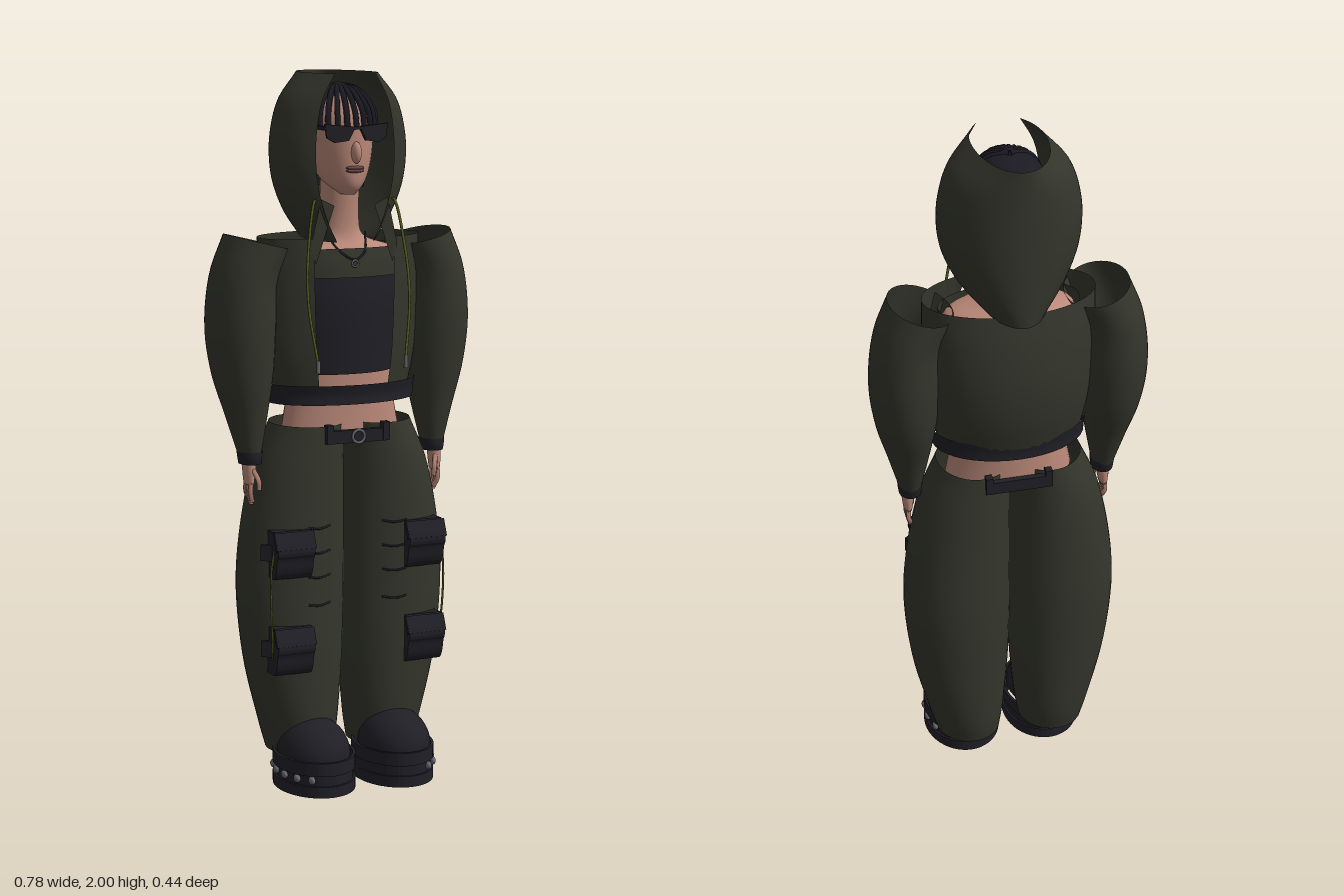
import * as THREE from 'three';

const mat = (color) => new THREE.MeshStandardMaterial({ color, side: THREE.DoubleSide, roughness: 0.9 });
const OLIVE = mat(0x34362c), DARK = mat(0x201f26), SKIN = mat(0xb98878),
  CORD = mat(0x59631f), METAL = mat(0x66666c), HAIR = mat(0x1b1a22), LIP = mat(0x6b4440);

// Smooth skin through elliptical cross-sections listed from top to bottom.
// section: [y, centreX, centreZ, halfWidth, frontDepth, backDepth, sideTilt]
// The sweep angle starts at the back; arc < PI leaves an opening at the front.
function loft(sections, { arc = Math.PI, n = 40, rows = 24, side = 1, caps = false } = {}) {
  const curve = (a, b, c) => new THREE.CatmullRomCurve3(
    sections.map((s) => new THREE.Vector3(s[a], s[b], s[c] || 0)), false, 'catmullrom', 0.5);
  const centre = curve(0, 1, 2), radii = curve(3, 4, 5), tilts = curve(6, 6, 6);
  const closed = arc === Math.PI, cols = closed ? n : n + 1;
  const pos = [], idx = [];
  for (let i = 0; i <= rows; i++) {
    const u = i / rows;
    const c = centre.getPoint(u), r = radii.getPoint(u), k = tilts.getPoint(u).x;
    for (let j = 0; j < cols; j++) {
      const t = -arc + (2 * arc * j) / n, s = Math.sin(t), co = Math.cos(t);
      pos.push(side * c.y + r.x * s, c.x + k * s * side, c.z - co * (co > 0 ? r.z : r.y));
      if (i < rows && j < n) {
        const a = i * cols + j, b = i * cols + ((j + 1) % cols);
        idx.push(a, b, a + cols, b, b + cols, a + cols);
      }
    }
  }
  if (caps) for (let j = 1; j < n - 1; j++) {
    const l = rows * cols;
    idx.push(0, j + 1, j, l, l + j, l + j + 1);
  }
  const g = new THREE.BufferGeometry();
  g.setAttribute('position', new THREE.Float32BufferAttribute(pos, 3));
  g.setIndex(idx);
  g.computeVertexNormals();
  return g;
}

const V = (p) => new THREE.Vector3(...p);
const tube = (pts, r, seg = 24) => new THREE.TubeGeometry(new THREE.CatmullRomCurve3(pts.map(V)), seg, r, 6);
const ball = (x, y, z, sx, sy, sz) => new THREE.SphereGeometry(1, 20, 14).scale(sx, sy, sz).translate(x, y, z);
const box = (x, y, z, w, h, d) => new THREE.BoxGeometry(w, h, d).translate(x, y, z);

export function createModel() {
  const model = new THREE.Group();
  const add = (name, geometry, material) => {
    const m = new THREE.Mesh(geometry, material);
    m.name = name;
    model.add(m);
    return m;
  };

  // Head and face
  add('head', loft([
    [1.955, 0, -0.03, 0.015, 0.015, 0.015], [1.935, 0, -0.03, 0.06, 0.07, 0.07],
    [1.88, 0, -0.03, 0.09, 0.113, 0.1], [1.81, 0, -0.03, 0.09, 0.118, 0.1],
    [1.74, 0, -0.02, 0.076, 0.107, 0.08], [1.695, 0, 0, 0.05, 0.083, 0.06], [1.668, 0, 0.02, 0.02, 0.045, 0.04],
  ], { caps: true }), SKIN);
  add('nose', ball(0, 1.785, 0.093, 0.014, 0.03, 0.018), SKIN);
  for (const y of [1.743, 1.735]) add('lip', ball(0, y, 0.084, 0.027, 0.006, 0.012), LIP);
  add('neck', loft([
    [1.71, 0, -0.02, 0.055, 0.055, 0.055], [1.6, 0, -0.03, 0.056, 0.055, 0.055],
    [1.545, 0, -0.03, 0.075, 0.06, 0.07], [1.51, 0, -0.03, 0.17, 0.085, 0.11], [1.46, 0, -0.03, 0.19, 0.1, 0.13],
  ]), SKIN);

  // Hair cap with braids fanning over the forehead
  add('hair', loft([
    [1.968, 0, -0.045, 0.01, 0.01, 0.01], [1.95, 0, -0.045, 0.06, 0.075, 0.075],
    [1.9, 0, -0.045, 0.096, 0.115, 0.11], [1.8, 0, -0.045, 0.1, 0.1, 0.11], [1.68, 0, -0.05, 0.08, 0.06, 0.09],
  ], { arc: 2.0 }), HAIR);
  for (let i = -5; i <= 5; i++) {
    const a = i * 0.26, s = Math.sin(a), c = Math.cos(a);
    add('braid', tube([[0, 1.966, -0.04], [s * 0.055, 1.95, -0.035 + c * 0.065],
      [s * 0.092, 1.9, -0.03 + c * 0.112], [s * 0.098, 1.855 - 0.014 * (i & 1), -0.03 + c * 0.125]], 0.0085, 14), HAIR);
  }

  // Sunglasses
  const lens = new THREE.Shape([[0.006, 0.018], [0.094, 0.026], [0.088, -0.012], [0.066, -0.025], [0.026, -0.02]]
    .map((p) => new THREE.Vector2(...p)));
  for (const s of [-1, 1]) {
    const m = add('lens', new THREE.ExtrudeGeometry(lens, { depth: 0.01, bevelEnabled: false }), DARK);
    m.position.set(0, 1.838, 0.094);
    m.rotation.y = s > 0 ? 0.12 : Math.PI - 0.12;
    if (s < 0) m.position.z = 0.104;
    add('templeArm', box(s * 0.092, 1.853, 0.03, 0.006, 0.012, 0.12), DARK);
  }
  add('noseBridge', box(0, 1.852, 0.1, 0.03, 0.008, 0.01), DARK);

  // Hood: tall open shell with a straight back
  add('hood', loft([
    [2.0, 0, -0.03, 0.1, 0.144, 0.19], [1.93, 0, -0.03, 0.162, 0.144, 0.19], [1.85, 0, -0.03, 0.189, 0.144, 0.19],
    [1.77, 0, -0.03, 0.195, 0.144, 0.19], [1.69, 0, -0.03, 0.182, 0.144, 0.19],
    [1.61, 0, -0.03, 0.145, 0.144, 0.19], [1.54, 0, -0.03, 0.09, 0.144, 0.19],
  ], { arc: 2.5, n: 56 }), OLIVE);

  // Torso and cropped top
  add('midriff', loft([
    [1.2, 0, -0.02, 0.15, 0.085, 0.12], [1.1, 0, -0.02, 0.158, 0.085, 0.12], [0.98, 0, -0.02, 0.18, 0.09, 0.12],
  ]), SKIN);
  add('croppedTop', loft([
    [1.45, 0, -0.03, 0.185, 0.105, 0.135], [1.35, 0, -0.03, 0.18, 0.112, 0.135], [1.17, 0, -0.025, 0.155, 0.1, 0.12],
  ]), DARK);
  add('topYoke', loft([
    [1.52, 0, -0.03, 0.195, 0.098, 0.135], [1.48, 0, -0.03, 0.195, 0.106, 0.14], [1.44, 0, -0.03, 0.19, 0.11, 0.14],
  ]), OLIVE);
  add('necklace', tube([[-0.06, 1.56, 0.015], [-0.035, 1.51, 0.07], [0, 1.49, 0.083], [0.035, 1.51, 0.07], [0.06, 1.56, 0.015]], 0.003), DARK);
  add('pendant', new THREE.TorusGeometry(0.009, 0.003, 6, 16).translate(0, 1.48, 0.086), METAL);

  // Jacket body, open at the front, and its hem band
  add('jacketBody', loft([
    [1.55, 0, -0.03, 0.24, 0.125, 0.14], [1.45, 0, -0.03, 0.24, 0.13, 0.16], [1.33, 0, -0.03, 0.235, 0.13, 0.17],
    [1.22, 0, -0.03, 0.225, 0.128, 0.16], [1.12, 0, -0.03, 0.205, 0.12, 0.135],
  ], { arc: 2.62 }), OLIVE);
  add('hemBand', loft([
    [1.145, 0, -0.02, 0.222, 0.135, 0.15], [1.115, 0, -0.02, 0.218, 0.128, 0.145], [1.09, 0, -0.02, 0.216, 0.13, 0.145],
  ]), DARK);

  for (const side of [-1, 1]) {
    const at = (p) => [side * p[0], p[1], p[2]];

    // Puffed sleeve, open at the shoulder, with cuff
    add('sleeve', loft([
      [1.54, 0.245, -0.035, 0.088, 0.115, 0.118, 0.022], [1.44, 0.285, -0.035, 0.09, 0.118, 0.12, 0.01],
      [1.31, 0.295, -0.035, 0.096, 0.118, 0.12], [1.18, 0.292, -0.03, 0.085, 0.1, 0.105],
      [1.06, 0.285, -0.02, 0.058, 0.07, 0.07], [0.945, 0.28, -0.008, 0.03, 0.04, 0.042],
    ], { side }), OLIVE);
    add('cuff', loft([
      [0.96, 0.28, -0.008, 0.035, 0.044, 0.046], [0.94, 0.28, -0.006, 0.033, 0.042, 0.044], [0.925, 0.28, -0.006, 0.031, 0.038, 0.04],
    ], { side }), DARK);

    // Hand
    add('palm', loft([
      [0.96, 0.283, 0, 0.02, 0.022, 0.022], [0.91, 0.285, 0, 0.018, 0.026, 0.026], [0.868, 0.286, 0, 0.012, 0.026, 0.026],
    ], { side, n: 16, rows: 10, caps: true }), SKIN);
    for (let f = 0; f < 4; f++) {
      const z = 0.019 - f * 0.0125;
      add('finger', tube([[0.286, 0.88, z], [0.288, 0.845, z], [0.28, 0.808 + Math.abs(f - 1.3) * 0.008, z * 0.5]].map(at), 0.0068, 8), SKIN);
    }
    add('thumb', tube([[0.28, 0.91, 0.02], [0.27, 0.88, 0.036], [0.268, 0.855, 0.034]].map(at), 0.0075, 8), SKIN);

    // Wide trouser leg
    add('trouserLeg', loft([
      [1.03, 0.1, -0.025, 0.105, 0.118, 0.125], [0.9, 0.129, -0.025, 0.131, 0.127, 0.135],
      [0.72, 0.147, -0.025, 0.15, 0.13, 0.142], [0.55, 0.153, -0.025, 0.155, 0.13, 0.146],
      [0.35, 0.146, -0.025, 0.142, 0.13, 0.138], [0.17, 0.132, -0.025, 0.113, 0.122, 0.127],
      [0.085, 0.126, -0.03, 0.095, 0.1, 0.105],
    ], { side, rows: 32 }), OLIVE);

    // Cargo pockets: bulging side profile swept across the width, with flap and straps
    const profile = new THREE.Shape();
    profile.moveTo(-0.05, 0.065);
    profile.lineTo(0.015, 0.068);
    profile.bezierCurveTo(0.04, 0.05, 0.055, 0.01, 0.038, -0.005);
    profile.bezierCurveTo(0.03, -0.02, 0.035, -0.05, 0.01, -0.068);
    profile.lineTo(-0.05, -0.068);
    for (const y of [0.68, 0.405]) {
      const g = new THREE.ExtrudeGeometry(profile, { depth: 0.11, bevelEnabled: false, curveSegments: 8 });
      add('cargoPocket', g.translate(0, 0, -0.055).rotateY(-Math.PI / 2), DARK).position.set(side * 0.2, y, 0.098);
      add('pocketFlap', box(0, 0, 0, 0.118, 0.05, 0.012).rotateX(-0.42), DARK).position.set(side * 0.2, y + 0.042, 0.128);
      const tab = add('pocketTab', box(0, 0, 0, 0.05, 0.045, 0.012), DARK);
      tab.position.set(side * 0.258, y + 0.005, 0.085);
      tab.rotation.y = side * 0.6;
    }
    for (const y of [0.75, 0.68, 0.61, 0.53]) add('trouserSeam', tube([[0.08, y, 0.093], [0.115, y - 0.005, 0.104], [0.15, y, 0.106]].map(at), 0.003, 8), DARK);
    add('legCord', tube([[0.24, 0.745, 0.1], [0.262, 0.64, 0.108], [0.262, 0.5, 0.108], [0.25, 0.35, 0.09]].map(at), 0.003), CORD);

    // Hood drawstring with metal tip
    add('drawstring', tube([[0.09, 1.62, 0.05], [0.115, 1.66, 0.075], [0.145, 1.52, 0.098],
      [0.152, 1.38, 0.115], [0.133, 1.22, 0.134]].map(at), 0.004, 32), CORD);
    add('drawstringTip', new THREE.CylinderGeometry(0.006, 0.006, 0.035, 8), METAL).position.set(side * 0.132, 1.205, 0.135);

    // Collar lapel hanging from the hood
    const lapel = new THREE.Shape([[0.06, 1.64], [0.1, 1.66], [0.13, 1.53], [0.115, 1.48]].map((p) => new THREE.Vector2(side * p[0], p[1])));
    add('lapel', new THREE.ShapeGeometry(lapel).translate(0, 0, 0.08), OLIVE);

    // Shoe: domed toe inside an open platform band with studs
    const dome = new THREE.SphereGeometry(1, 28, 12, 0, Math.PI * 2, 0, Math.PI / 2);
    add('shoeUpper', dome.scale(0.1, 0.103, 0.125).translate(side * 0.125, 0.095, 0.08), DARK);
    add('shoeBase', new THREE.CircleGeometry(1, 28).rotateX(Math.PI / 2).scale(0.1, 1, 0.125).translate(side * 0.125, 0.095, 0.08), DARK);
    const bands = [[0.1, 0.062], [0.064, 0.03], [0.032, 0]];
    bands.forEach(([top, bottom], i) => {
      const w = i === 1 ? 0.106 : 0.112, d = i === 1 ? 0.14 : 0.146;
      const ring = new THREE.Shape().absellipse(0, 0, w, d, 0, Math.PI * 2);
      ring.holes.push(new THREE.Path().absellipse(0, 0, w - 0.008, d - 0.008, 0, Math.PI * 2));
      const g = new THREE.ExtrudeGeometry(ring, { depth: top - bottom, bevelEnabled: false, curveSegments: 24 });
      add('platformBand', g.rotateX(-Math.PI / 2).translate(side * 0.122, bottom, 0.074), DARK);
    });
    for (let k = 0; k < 5; k++) {
      const a = -0.5 + k * 0.38;
      add('shoeStud', ball(side * (0.122 + 0.109 * Math.cos(a)), 0.05, 0.074 + 0.143 * Math.sin(a), 0.009, 0.012, 0.015), METAL);
    }
  }

  // Belt pieces at the front and back of the waist, with a ring buckle
  for (const [name, z, x] of [['frontBelt', 0.1, 0], ['backBelt', -0.15, 0]]) {
    add(name, box(x, 1.0, z, 0.19, 0.036, 0.018), DARK);
    for (const s of [-1, 1]) add('beltLoop', box(s * 0.085, 1.01, z, 0.02, 0.05, 0.024), DARK);
  }
  add('buckle', new THREE.TorusGeometry(0.018, 0.004, 8, 20).translate(0, 1.0, 0.112), METAL);
  return model;
}
